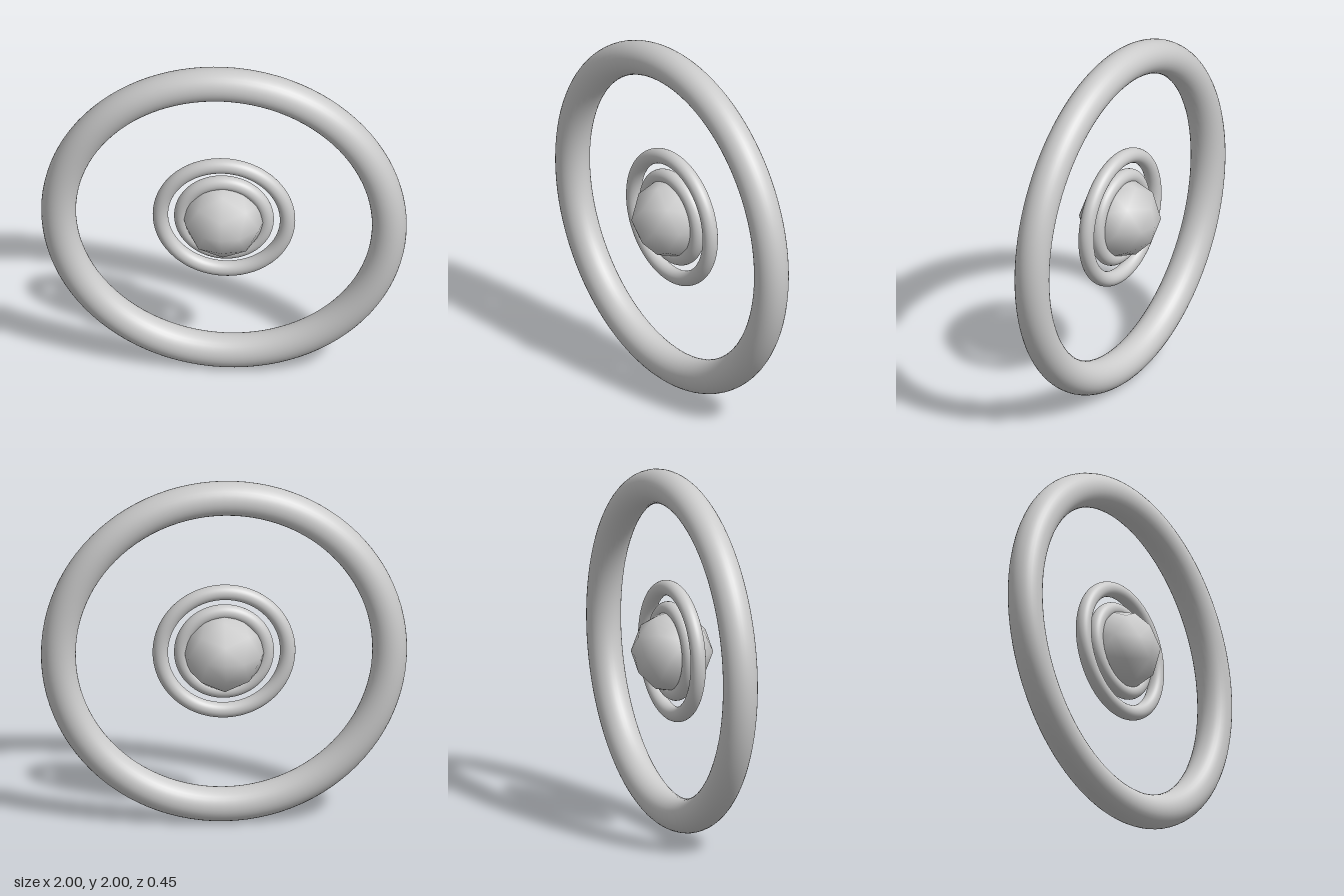
import * as THREE from 'three';

export function createModel() {
  const model = new THREE.Group();
  const material = new THREE.MeshStandardMaterial({ color: 0xcccccc });

  const add = (name, geometry) => {
    const mesh = new THREE.Mesh(geometry, material);
    mesh.name = name;
    mesh.position.y = 1;
    model.add(mesh);
  };

  // Three concentric upright rings: [name, ring radius, tube radius]
  const rings = [
    ['outerRing', 0.905, 0.095],
    ['middleRing', 0.348, 0.042],
    ['innerRing', 0.232, 0.041],
  ];
  for (const [name, radius, tube] of rings) {
    add(name, new THREE.TorusGeometry(radius, tube, 32, 100));
  }

  // Coarse, smooth-shaded ball seated in the inner ring
  add('centreBall', new THREE.OctahedronGeometry(0.225, 2));

  return model;
}
